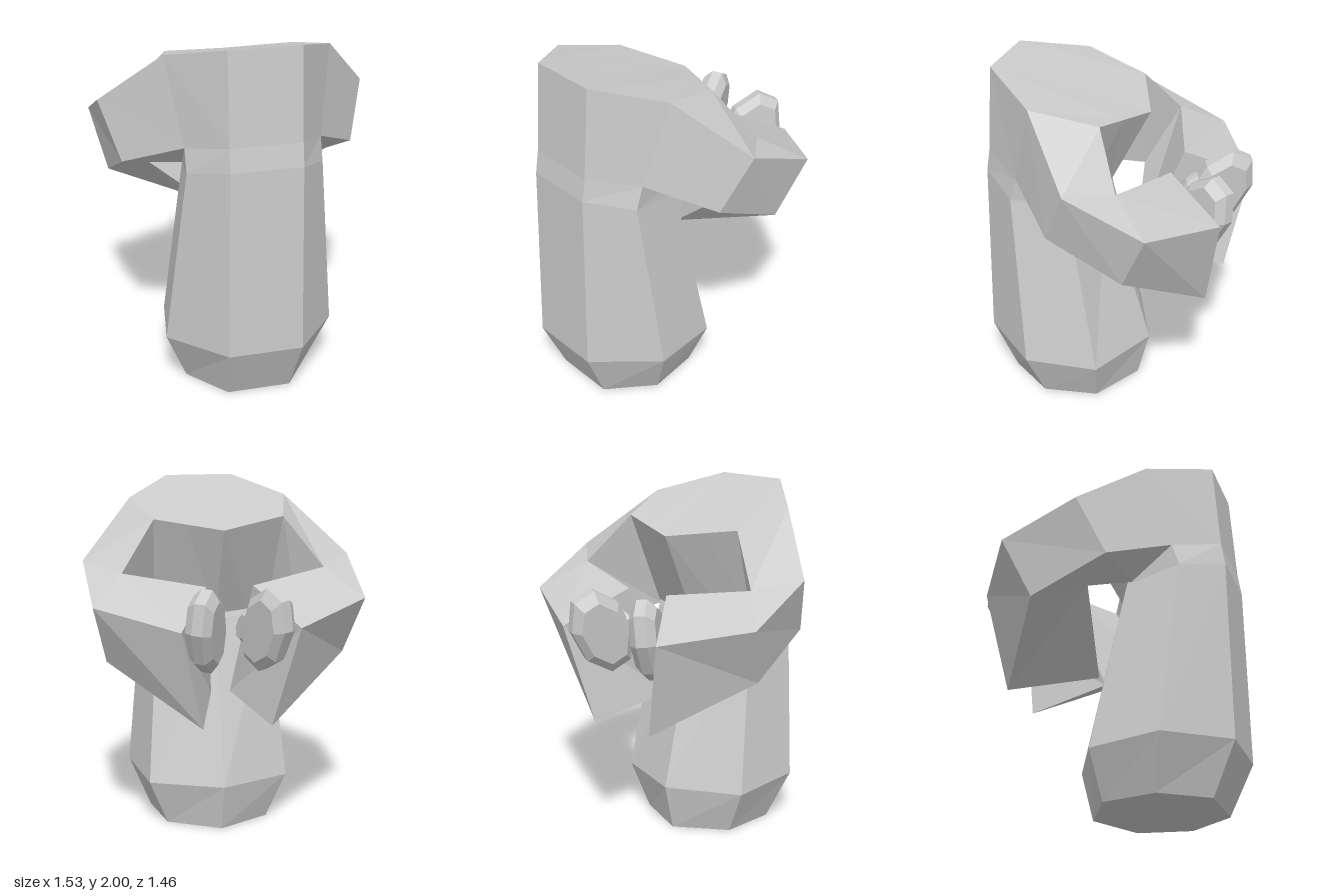
import * as THREE from 'three';

const material = new THREE.MeshStandardMaterial({ color: 0xcccccc, flatShading: true });
const flip = ([x, y, z]) => [-x, y, z];

// Skins a row of equal-length closed rings and caps both ends.
function loft(name, rings) {
  const pos = [];
  const tri = (a, b, c) => pos.push(...a, ...b, ...c);
  const n = rings[0].length;
  for (let i = 0; i < rings.length - 1; i++) {
    for (let j = 0; j < n; j++) {
      const k = (j + 1) % n;
      const a = rings[i][j], b = rings[i][k], c = rings[i + 1][k], d = rings[i + 1][j];
      tri(a, b, c);
      tri(a, c, d);
    }
  }
  const first = rings[0], last = rings[rings.length - 1];
  for (let j = 1; j < n - 1; j++) {
    tri(first[0], first[j + 1], first[j]);
    tri(last[0], last[j], last[j + 1]);
  }
  const geometry = new THREE.BufferGeometry();
  geometry.setAttribute('position', new THREE.Float32BufferAttribute(pos, 3));
  geometry.computeVertexNormals();
  const mesh = new THREE.Mesh(geometry, material);
  mesh.name = name;
  return mesh;
}

// Seven-sided column with a ridge at the back; each row lists the +x corners
// from front to back, then the ridge point.
function createColumn() {
  const rows = [
    [[0.18, 0, 0.59], [0.36, 0, 0.33], [0.3, 0, 0.02], [0, 0, -0.14]],
    [[0.21, 0.3, 0.725], [0.485, 0.29, 0.39], [0.41, 0.27, -0.02], [0, 0.28, -0.21]],
    [[0.2, 1.36, 0.71], [0.38, 1.3, 0.49], [0.33, 1.25, 0.17], [0, 1.22, 0.065]],
    [[0.2, 1.49, 0.69], [0.38, 1.43, 0.45], [0.33, 1.33, 0.2], [0, 1.33, 0.1]],
  ];
  return loft('column', rows.map((row) => [...row, ...row.slice(0, 3).map(flip).reverse()]));
}

// Head and both hooked arms as one band; corners run
// outer top, outer bottom, inner bottom, inner top, from centre to tip.
function createHeadAndArms() {
  const elbowLow = [0.48, 1.2, -0.01], elbowHigh = [0.57, 1.56, -0.2];
  const half = [
    [[0.2, 2, 0.655], [0.2, 1.49, 0.69], [0.2, 1.26, 0.14], [0.2, 1.807, -0.114]],
    [[0.46, 1.91, 0.33], [0.38, 1.43, 0.45], [0.34, 1.26, 0.2], [0.37, 1.83, -0.04]],
    [[0.765, 1.6, 0.02], [0.665, 1.28, 0.16], elbowLow, elbowHigh],
    [[0.75, 1.42, -0.42], [0.67, 1.085, -0.27], elbowLow, elbowHigh],
    [[0.32, 1.33, -0.7], [0.19, 0.77, -0.6], [0.055, 0.83, -0.09], [0.13, 1.5, -0.36]],
  ];
  const centre = [[0, 2, 0.655], [0, 1.49, 0.69], [0, 1.26, 0.06], [0, 1.78, -0.2]];
  const mirrored = half.map((ring) => ring.map(flip)).reverse();
  return loft('headAndArms', [...mirrored, centre, ...half]);
}

// Chamfered eight-sided pad lying on the tip face of an arm.
function createPad(name, centre, length, width, depth, side) {
  const c = new THREE.Vector3(...centre);
  const n = new THREE.Vector3(-0.88, -0.09, -0.46).normalize();
  const u = new THREE.Vector3(0.12, 0.44, -0.2);
  u.addScaledVector(n, -u.dot(n)).normalize();
  const w = new THREE.Vector3().crossVectors(n, u);
  const rings = [[-1.2, 0.8], [-0.5, 1], [0.4, 1], [1, 0.75]].map(([offset, size]) => {
    const ring = [];
    for (let i = 0; i < 8; i++) {
      const a = ((i + 0.5) * Math.PI) / 4;
      ring.push(c.clone()
        .addScaledVector(n, offset * depth)
        .addScaledVector(u, Math.cos(a) * length * size)
        .addScaledVector(w, Math.sin(a) * width * size)
        .toArray());
    }
    return side > 0 ? ring : ring.map(flip).reverse();
  });
  return loft(name, rings);
}

export function createModel() {
  const model = new THREE.Group();
  model.name = 'hookedPost';
  model.add(createColumn(), createHeadAndArms());
  for (const side of [1, -1]) {
    const label = side > 0 ? 'left' : 'right';
    model.add(
      createPad(label + 'TipPad', [0.16, 1.3, -0.565], 0.26, 0.165, 0.065, side),
      createPad(label + 'SmallPad', [0.09, 1.29, -0.41], 0.11, 0.055, 0.045, side),
    );
  }
  return model;
}
